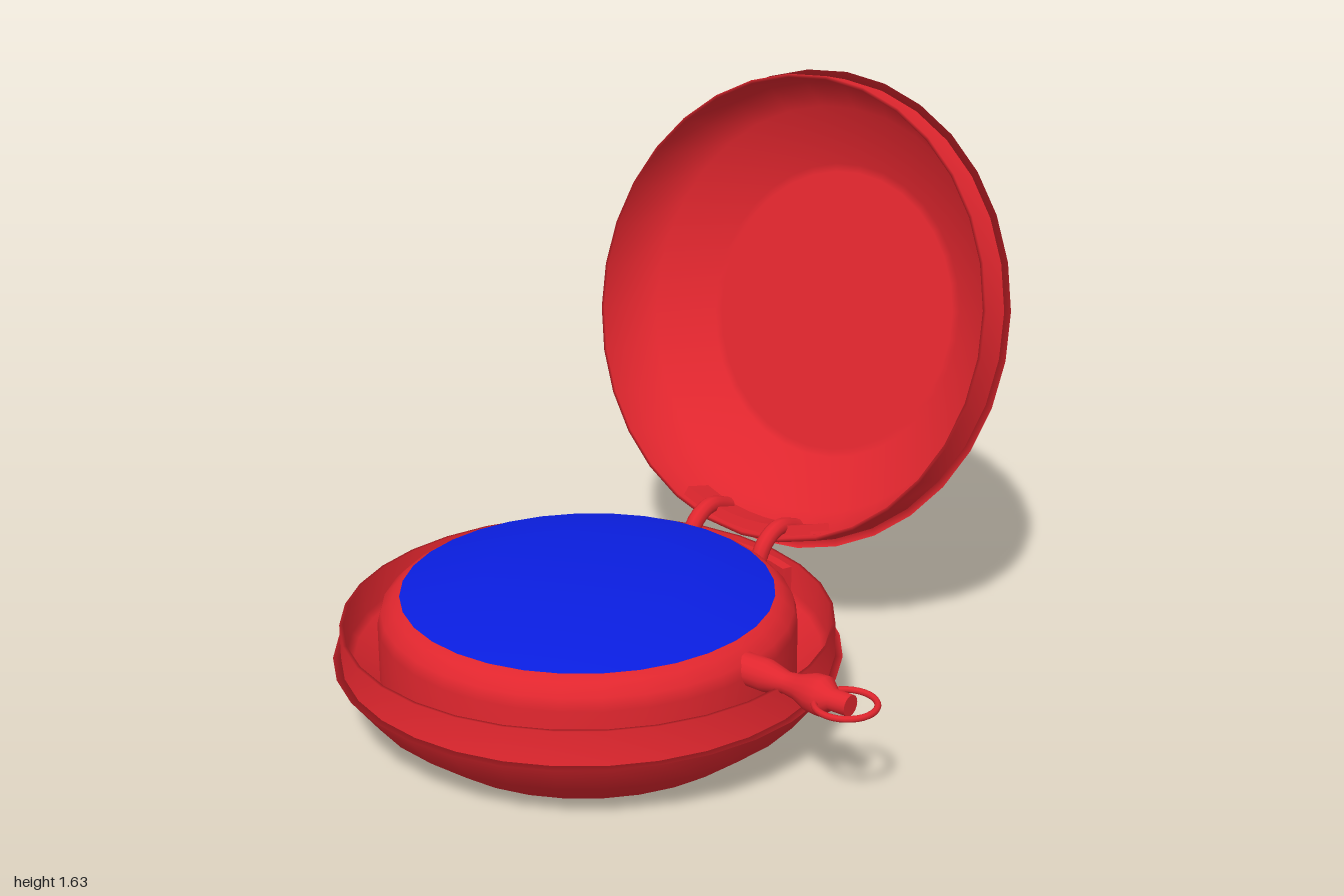
import * as THREE from 'three';
import { toCreasedNormals } from 'three/addons/utils/BufferGeometryUtils.js';

const red = new THREE.MeshStandardMaterial({ color: 0xe0262e, side: THREE.DoubleSide });
const blue = new THREE.MeshStandardMaterial({ color: 0x0a1ee0 });

function part(name, geometry, material, parent) {
  const mesh = new THREE.Mesh(geometry, material);
  mesh.name = name;
  parent.add(mesh);
  return mesh;
}

// Smooth turned shape from [radius, height] pairs
function turned(profile, sides = 32, start = 0, sweep = Math.PI * 2) {
  const points = profile.map(([r, y]) => new THREE.Vector2(r, y));
  return new THREE.LatheGeometry(points, sides, start, sweep);
}

// Curved hinge leaf lying against an inner wall, centred on the given angle
function hingeLeaf(angle, bottom, top) {
  const profile = [[0.64, bottom], [0.67, bottom], [0.67, top], [0.64, top], [0.64, bottom]];
  return toCreasedNormals(turned(profile, 8, angle - 0.365, 0.73), 0.9);
}

export function createModel() {
  const model = new THREE.Group();
  model.name = 'pocketCase';

  // Lower half: thin-rimmed bowl, raised inner body and domed glass
  const base = new THREE.Group();
  base.name = 'base';
  base.position.set(-0.285, 0, -0.135);
  model.add(base);
  part('baseShell', turned([
    [0, 0], [0.48, 0], [0.505, 0], [0.635, 0.1], [0.712, 0.2], [0.69, 0.2], [0.69, 0.3],
    [0.68, 0.3], [0.675, 0.21], [0.655, 0.195], [0.585, 0.12],
  ]), red, base);
  part('innerBody', turned([
    [0.585, 0.12], [0.585, 0.3], [0.575, 0.335], [0.545, 0.365], [0.515, 0.38], [0.48, 0.38],
  ]), red, base);
  part('glass', turned([[0.522, 0.379], [0.29, 0.432], [0, 0.432]]), blue, base);
  part('baseHingeLeaf', hingeLeaf(Math.PI / 2, 0.2, 0.29), red, base);

  // Open lid, leaning back from the hinge
  const lid = new THREE.Group();
  lid.name = 'lid';
  lid.position.set(0.874, 0.884, -0.135);
  lid.rotation.z = 1.288;
  model.add(lid);
  part('lidShell', turned([
    [0, 0], [0.43, 0], [0.455, 0], [0.63, 0.094], [0.712, 0.183], [0.69, 0.183], [0.69, 0.283],
    [0.68, 0.283], [0.675, 0.19], [0.61, 0.11], [0.445, 0.02], [0.42, 0.02], [0, 0.02],
  ]), red, lid);
  part('lidHingeLeaf', hingeLeaf(Math.PI * 1.5, 0.178, 0.278), red, lid);

  // Two bent hinge bars joining base and lid
  const bend = new THREE.CatmullRomCurve3([
    [0.335, 0.21], [0.328, 0.29], [0.36, 0.335], [0.42, 0.358], [0.51, 0.33],
  ].map(([x, y]) => new THREE.Vector3(x, y, 0)));
  for (const z of [-0.265, -0.005]) {
    part('hingeBar', new THREE.TubeGeometry(bend, 16, 0.025, 10), red, model).position.z = z;
  }

  // Crown stem at the front
  const stem = part('crownStem', toCreasedNormals(turned([
    [0, 0], [0.045, 0], [0.045, 0.1], [0.03, 0.165], [0.036, 0.205], [0.053, 0.25],
    [0.055, 0.285], [0.03, 0.315], [0.03, 0.37], [0, 0.37],
  ], 16), 0.9), red, model);
  stem.position.set(-0.285, 0.31, 0.395);
  stem.rotation.x = Math.PI / 2;

  // Chain ring around the stem tip
  const ring = part('chainRing', new THREE.TorusGeometry(0.083, 0.009, 8, 32), red, model);
  ring.position.set(-0.285, 0.31, 0.75);
  ring.rotation.x = Math.PI / 2;

  return model;
}
